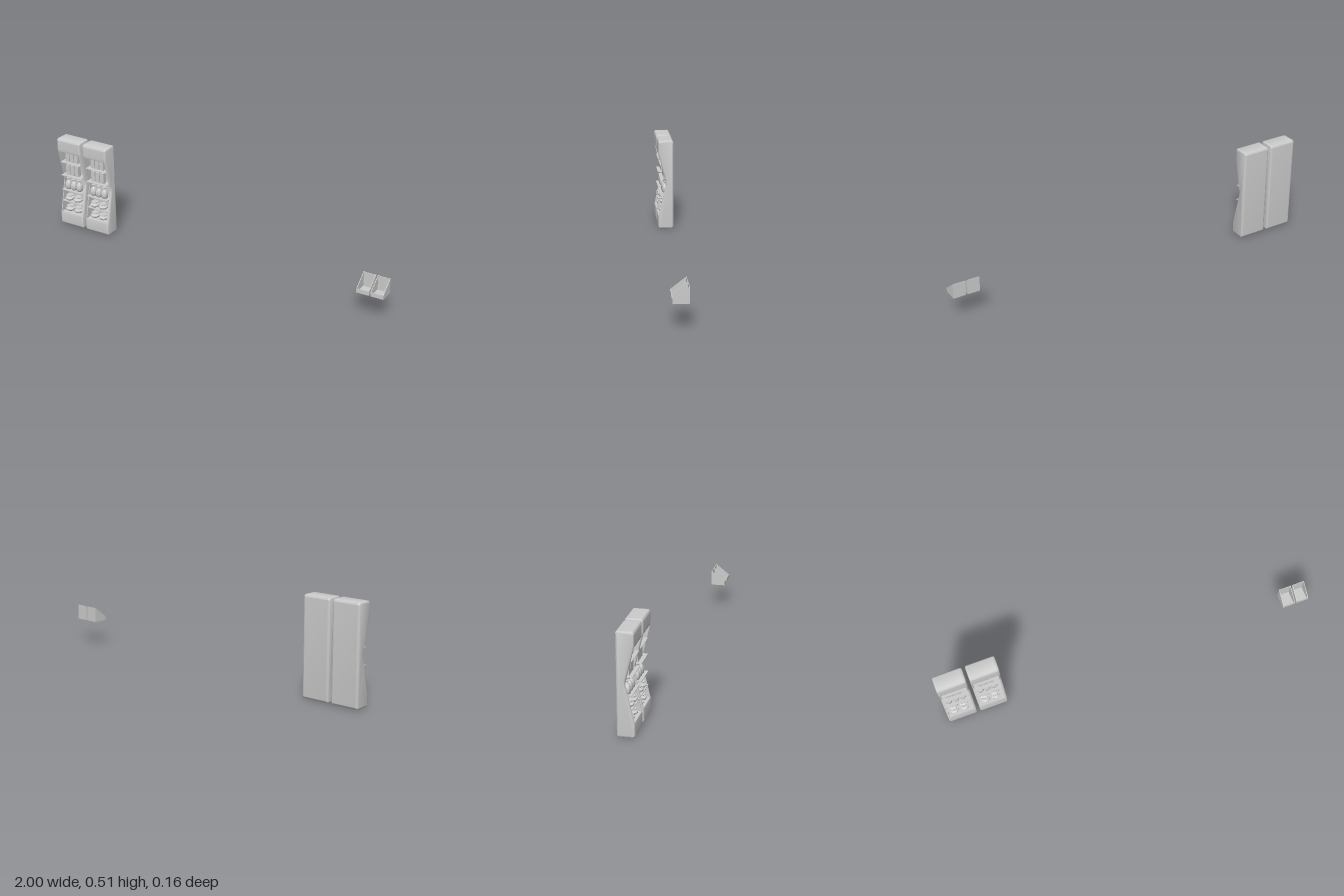
import * as THREE from 'three';
import { toCreasedNormals } from 'three/addons/utils/BufferGeometryUtils.js';

const material = new THREE.MeshStandardMaterial({ color: 0xcccccc, side: THREE.DoubleSide });

function add(parent, name, geometry, x = 0, y = 0, z = 0) {
  const mesh = new THREE.Mesh(geometry, material);
  mesh.name = name;
  mesh.position.set(x, y, z);
  parent.add(mesh);
  return mesh;
}

function box(parent, name, w, h, d, x, y, z) {
  return add(parent, name, new THREE.BoxGeometry(w, h, d), x, y, z);
}

// Extrudes a side outline (u = -z, v = y) along +x
function extrudeX(shape, depth, options = {}) {
  const g = new THREE.ExtrudeGeometry(shape, { depth, bevelEnabled: false, curveSegments: 6, ...options });
  return g.rotateY(Math.PI / 2);
}

const WIDTH = 0.155, HEIGHT = 0.513, FRONT = -0.008, BACK = 0.078;
const WALL = 0.011, BEVEL = 0.01, CORNER = 0.014;

// Side outline with a pinched waist; hollow cuts the shelf cavity out of it
function cabinetOutline(hollow) {
  const s = new THREE.Shape();
  s.moveTo(FRONT, 0.064);
  s.lineTo(FRONT, CORNER);
  s.quadraticCurveTo(FRONT, 0, FRONT + CORNER, 0);
  s.lineTo(BACK - CORNER, 0);
  s.quadraticCurveTo(BACK, 0, BACK, CORNER);
  s.lineTo(BACK, HEIGHT - CORNER);
  s.quadraticCurveTo(BACK, HEIGHT, BACK - CORNER, HEIGHT);
  s.lineTo(FRONT + CORNER, HEIGHT);
  s.quadraticCurveTo(FRONT, HEIGHT, FRONT, HEIGHT - CORNER);
  s.lineTo(FRONT, 0.455);
  if (hollow) {
    s.quadraticCurveTo(FRONT, 0.443, FRONT + 0.002, 0.437);
    s.lineTo(0.061, 0.437);
    s.lineTo(0.061, 0.074);
    s.lineTo(FRONT + 0.002, 0.074);
  } else {
    s.quadraticCurveTo(FRONT, 0.443, FRONT + 0.003, 0.43);
    s.lineTo(0.031, 0.283);
    s.quadraticCurveTo(0.038, 0.262, 0.031, 0.238);
    s.lineTo(FRONT + 0.003, 0.078);
  }
  s.closePath();
  return s;
}

// Side panel: rounded on the outside, pressed flat on the inside
function panelGeometry() {
  const g = extrudeX(cabinetOutline(false), WALL - BEVEL, {
    bevelEnabled: true, bevelThickness: BEVEL, bevelSize: BEVEL, bevelOffset: -BEVEL, bevelSegments: 4,
  });
  const p = g.attributes.position;
  for (let i = 0; i < p.count; i++) p.setX(i, Math.min(p.getX(i) + BEVEL, WALL));
  return toCreasedNormals(g, 0.7);
}

function lathe(points) {
  const g = new THREE.LatheGeometry(points.map(([r, y]) => new THREE.Vector2(r, y)), 24);
  return toCreasedNormals(g, 0.8);
}

const bottleGeometry = lathe([
  [0, 0], [0.014, 0], [0.017, 0.004], [0.019, 0.014], [0.0185, 0.027], [0.016, 0.037],
  [0.011, 0.045], [0.006, 0.05], [0.005, 0.056], [0.011, 0.06], [0.012, 0.062], [0, 0.062],
]);
const potGeometry = lathe([
  [0, 0], [0.012, 0], [0.021, 0.005], [0.026, 0.012], [0.026, 0.016], [0.021, 0.02],
  [0.013, 0.023], [0.013, 0.028], [0.02, 0.03], [0.02, 0.032], [0, 0.032],
]);

function makeCabinet(x) {
  const cabinet = new THREE.Group();
  cabinet.name = 'cabinet';
  cabinet.position.x = x;

  const inner = WIDTH - 2 * WALL;
  add(cabinet, 'cabinetCore', toCreasedNormals(extrudeX(cabinetOutline(true), inner), 0.7), -inner / 2);
  const panel = panelGeometry();
  add(cabinet, 'rightPanel', panel, -WIDTH / 2);
  add(cabinet, 'leftPanel', panel, WIDTH / 2).rotation.y = 0;
  cabinet.children[2].scale.x = -1;

  // Shelves
  for (const y of [0.138, 0.205, 0.292, 0.371])
    box(cabinet, 'shelf', inner, 0.003, 0.059, 0, y, -0.0325);

  // Upright boxes, bottles and pots
  const shift = -0.005;
  for (const i of [-1, 0, 1]) {
    for (const y of [0.2935, 0.3725])
      box(cabinet, 'uprightBox', 0.024, 0.06, 0.024, shift + i * 0.029, y + 0.03, -0.035);
    add(cabinet, 'bottle', bottleGeometry, shift + i * 0.037, 0.2065, -0.034);
  }
  for (const i of [-1, 1])
    for (const y of [0.075, 0.1395])
      add(cabinet, 'pot', potGeometry, shift + i * 0.028, y, -0.028);
  return cabinet;
}

// Open bin with sloping sides and a low front lip
function makeBin(x) {
  const bin = new THREE.Group();
  bin.name = 'bin';
  bin.position.x = x;
  const w = 0.067, t = 0.003, y0 = 0.135, z0 = 0.003, z1 = 0.08;
  const side = new THREE.Shape();
  side.moveTo(-z1, y0);
  side.lineTo(-z0, y0);
  side.lineTo(-z0, 0.217);
  side.lineTo(-z1, 0.157);
  side.closePath();
  for (const sx of [-w / 2, w / 2 - t]) add(bin, 'binSide', extrudeX(side, t), sx);
  const inner = w - 2 * t;
  box(bin, 'binBack', inner, 0.08, t, 0, y0 + 0.04, z0 + t / 2);
  box(bin, 'binFloor', inner, t, z1 - z0, 0, y0 + t / 2, (z0 + z1) / 2);
  box(bin, 'binLip', inner, 0.022, t, 0, y0 + 0.011, z1 - t / 2);
  return bin;
}

export function createModel() {
  const model = new THREE.Group();
  model.name = 'shelfDisplay';
  for (const x of [-0.9225, -0.752]) model.add(makeCabinet(x));
  for (const x of [0.8905, 0.9665]) model.add(makeBin(x));
  return model;
}
